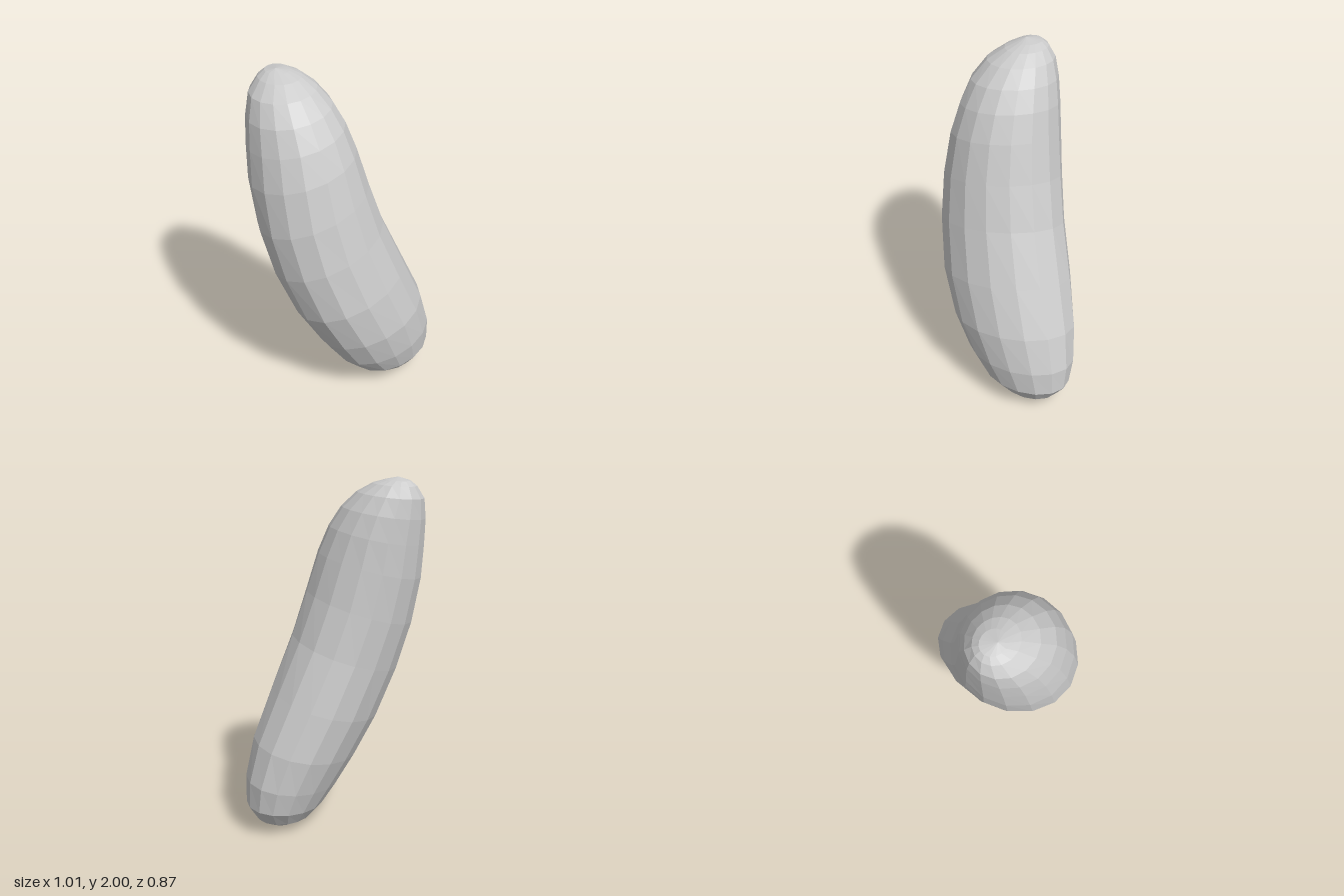
import * as THREE from 'three';

// Extents of the body at each height: y, xMin, xMax, zMin, zMax
const PROFILE = [
  [0, 0.22, 0.22, 0.2, 0.2],
  [0.02, 0.13, 0.35, 0.11, 0.27],
  [0.06, 0.05, 0.43, 0.04, 0.33],
  [0.14, -0.06, 0.5, -0.015, 0.395],
  [0.27, -0.18, 0.51, -0.075, 0.425],
  [0.46, -0.3, 0.475, -0.16, 0.44],
  [0.71, -0.42, 0.38, -0.25, 0.405],
  [1.0, -0.49, 0.26, -0.325, 0.33],
  [1.26, -0.51, 0.18, -0.385, 0.265],
  [1.5, -0.49, 0.125, -0.42, 0.205],
  [1.67, -0.455, 0.09, -0.43, 0.14],
  [1.8, -0.42, 0.05, -0.44, 0.065],
  [1.9, -0.36, 0, -0.435, -0.035],
  [1.96, -0.28, -0.055, -0.4, -0.135],
  [1.985, -0.23, -0.1, -0.37, -0.22],
  [2, -0.19, -0.19, -0.29, -0.29],
];

// Interpolate by polar angle so that the ends stay round
const polar = (y) => Math.acos(THREE.MathUtils.clamp(1 - y, -1, 1));

function extentsAt(y) {
  let i = 0;
  while (i < PROFILE.length - 2 && y > PROFILE[i + 1][0]) i++;
  const a = PROFILE[i], b = PROFILE[i + 1];
  const f = (polar(y) - polar(a[0])) / (polar(b[0]) - polar(a[0]));
  return a.map((v, k) => THREE.MathUtils.lerp(v, b[k], f));
}

// Closed loft of oval rings, tilted to lie across the leaning body
function beanGeometry(sides) {
  const rings = PROFILE.slice(1, -1).map((row) => row[0]);
  const positions = [PROFILE[0][1], 0, PROFILE[0][3]];
  for (const t of rings) {
    const tilt = Math.sin((Math.PI * t) / 2);
    for (let s = 0; s < sides; s++) {
      const angle = (s / sides) * Math.PI * 2;
      const c = Math.cos(angle), n = Math.sin(angle);
      const y = THREE.MathUtils.clamp(t + tilt * (0.07 * c + 0.08 * n), 0.004, 1.996);
      const [, x0, x1, z0, z1] = extentsAt(y);
      positions.push((x0 + x1) / 2 + (c * (x1 - x0)) / 2, y, (z0 + z1) / 2 + (n * (z1 - z0)) / 2);
    }
  }
  const last = PROFILE[PROFILE.length - 1];
  positions.push(last[1], 2, last[3]);

  const index = [];
  const top = positions.length / 3 - 1;
  const at = (r, s) => 1 + r * sides + (s % sides);
  for (let s = 0; s < sides; s++) {
    index.push(0, at(0, s), at(0, s + 1));
    for (let r = 0; r < rings.length - 1; r++) {
      index.push(at(r, s), at(r + 1, s), at(r + 1, s + 1));
      index.push(at(r, s), at(r + 1, s + 1), at(r, s + 1));
    }
    index.push(top, at(rings.length - 1, s + 1), at(rings.length - 1, s));
  }

  const geometry = new THREE.BufferGeometry();
  geometry.setAttribute('position', new THREE.Float32BufferAttribute(positions, 3));
  geometry.setIndex(index);
  geometry.computeVertexNormals();
  return geometry;
}

export function createModel() {
  const group = new THREE.Group();
  group.name = 'bean';
  const material = new THREE.MeshStandardMaterial({ color: 0xcccccc, flatShading: true });
  const body = new THREE.Mesh(beanGeometry(16), material);
  body.name = 'beanBody';
  group.add(body);
  return group;
}
